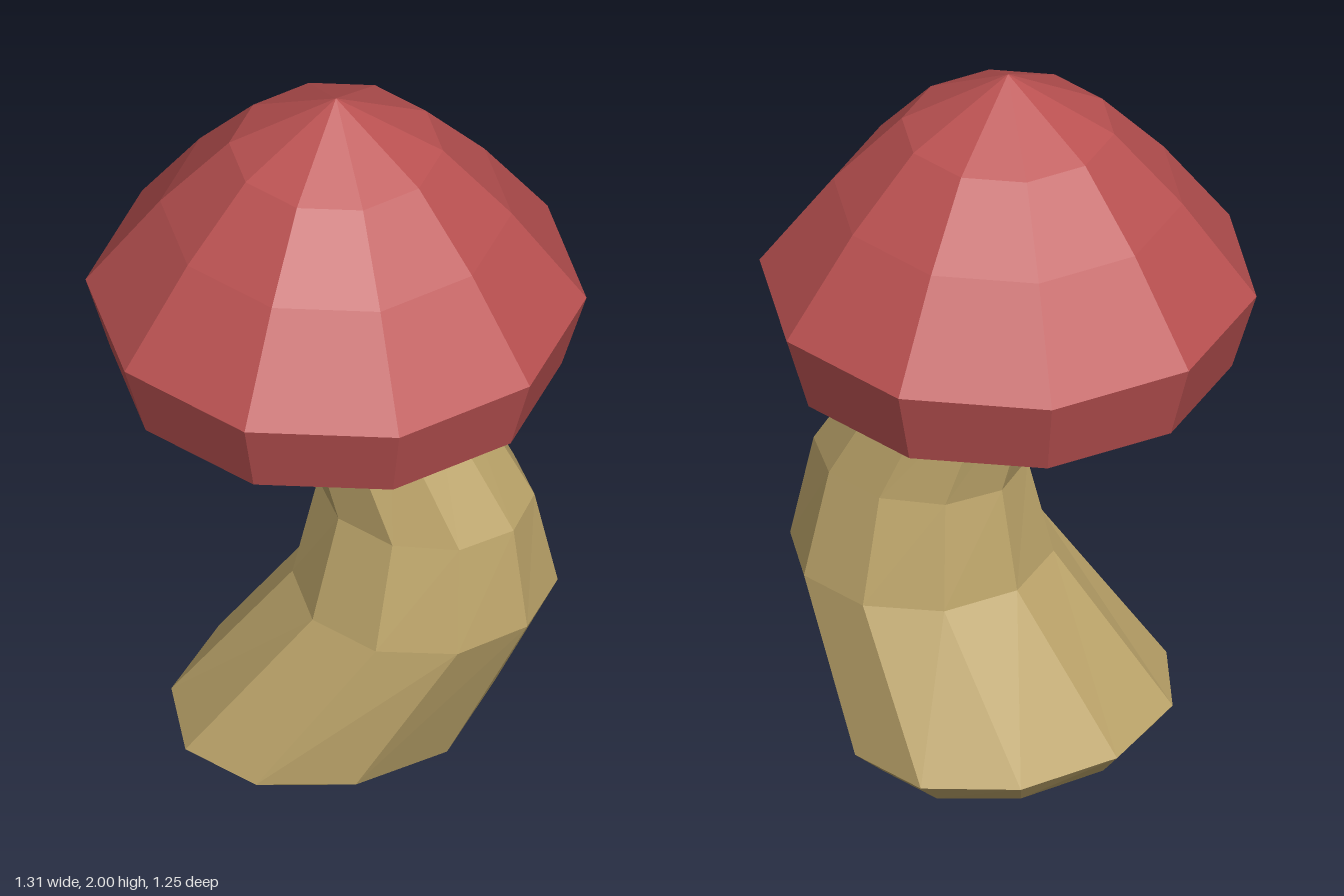
import * as THREE from 'three';

const SIDES = 10;

// Faceted normals on an unshared-vertex copy
function faceted(geometry) {
  const g = geometry.index ? geometry.toNonIndexed() : geometry;
  g.computeVertexNormals();
  return g;
}

// Skin a stack of ten-sided elliptical rings, closed at both ends
function loft(rings) {
  const pos = [];
  const corner = (ring, j) => {
    const a = ((j % SIDES) / SIDES) * Math.PI * 2;
    const dip = (ring.dip || 0) * Math.max(0, Math.cos(a)) ** 6;
    return [ring.x + ring.rx * Math.cos(a), ring.y - dip, ring.z + ring.rz * Math.sin(a)];
  };
  const first = rings[0], last = rings[rings.length - 1];
  for (let j = 0; j < SIDES; j++) {
    for (let i = 0; i < rings.length - 1; i++) {
      const a = corner(rings[i], j), b = corner(rings[i], j + 1);
      const c = corner(rings[i + 1], j), d = corner(rings[i + 1], j + 1);
      pos.push(...a, ...c, ...b, ...b, ...c, ...d);
    }
    pos.push(first.x, first.y, first.z, ...corner(first, j), ...corner(first, j + 1));
    pos.push(last.x, last.y, last.z, ...corner(last, j + 1), ...corner(last, j));
  }
  const g = new THREE.BufferGeometry();
  g.setAttribute('position', new THREE.Float32BufferAttribute(pos, 3));
  return faceted(g);
}

export function createModel() {
  const capRed = new THREE.MeshStandardMaterial({ color: 0xbc5252 });
  capRed.name = 'capRed';
  const stemTan = new THREE.MeshStandardMaterial({ color: 0xbea66b });
  stemTan.name = 'stemTan';

  const model = new THREE.Group();
  model.name = 'mushroom';

  // Cap: hollow cone underneath, flared rim and domed top
  const profile = [
    [0, 1.42], [0.59, 1.15], [0.655, 1.37], [0.46, 1.64], [0.28, 1.84], [0, 2],
  ].map(([r, y]) => new THREE.Vector2(r, y));
  const cap = new THREE.Mesh(
    faceted(new THREE.LatheGeometry(profile, SIDES, Math.PI / 2)), capRed);
  cap.name = 'cap';
  model.add(cap);

  // Stem: bent and tapering, with a bevelled foot
  const stem = new THREE.Mesh(loft([
    { y: 0, x: -0.03, z: 0, rx: 0.315, rz: 0.42 },
    { y: 0.06, x: -0.01, z: 0, rx: 0.385, rz: 0.486, dip: 0.037 },
    { y: 0.49, x: 0.235, z: -0.08, rx: 0.345, rz: 0.35 },
    { y: 0.78, x: 0.235, z: -0.085, rx: 0.295, rz: 0.263 },
    { y: 1.15, x: 0.085, z: -0.03, rx: 0.225, rz: 0.218 },
    { y: 1.4, x: -0.016, z: 0.005, rx: 0.178, rz: 0.188 },
  ]), stemTan);
  stem.name = 'stem';
  model.add(stem);

  return model;
}
